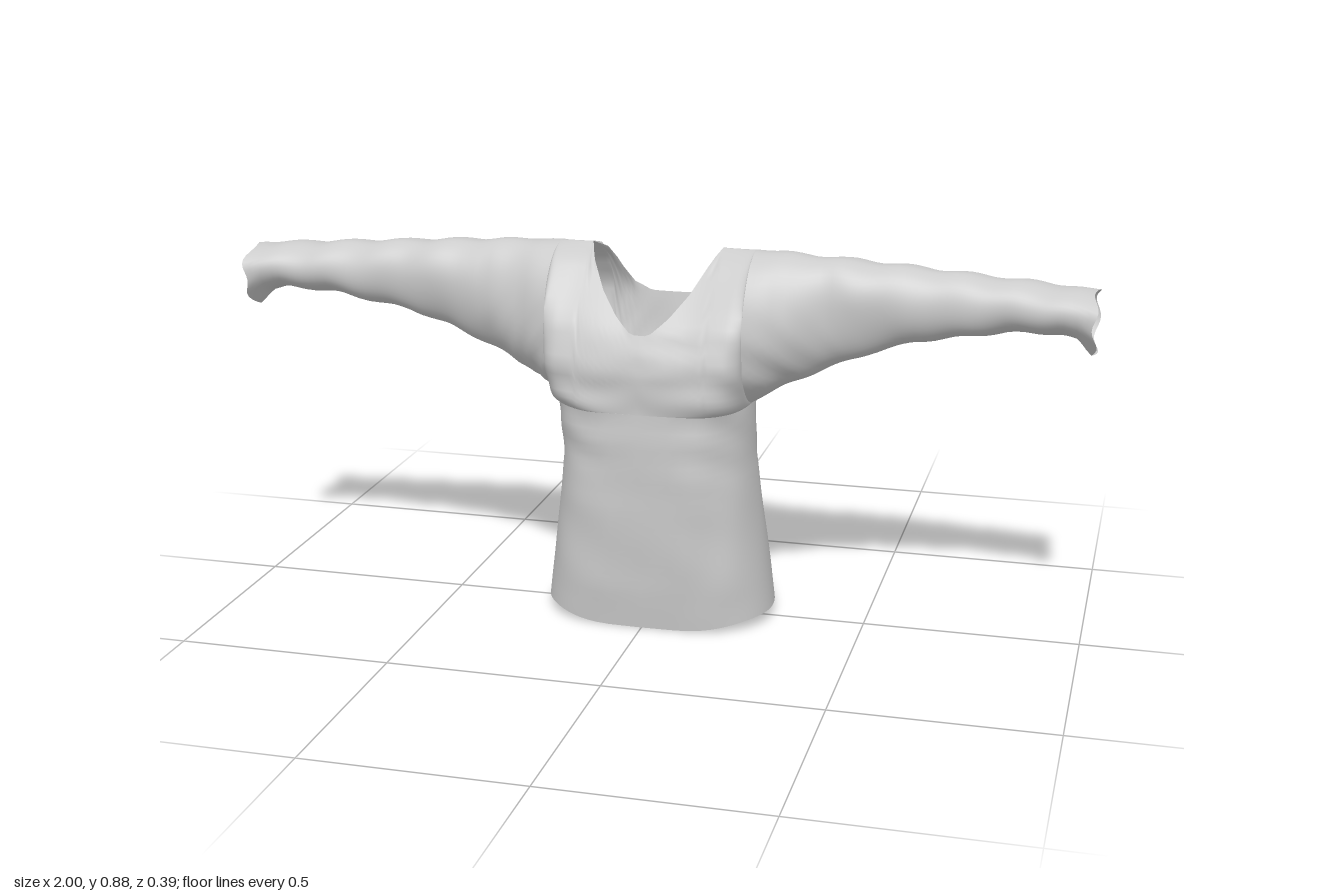
import * as THREE from 'three';
import { mergeVertices } from 'three/addons/utils/BufferGeometryUtils.js';

const material = new THREE.MeshStandardMaterial({ color: 0xcccccc, side: THREE.DoubleSide });
const ARMPIT_X = 0.23, ARMPIT_Y = 0.53;
const { lerp, smoothstep } = THREE.MathUtils;

// Piecewise-linear lookup in [[key, value], ...]
function at(table, k) {
  if (k <= table[0][0]) return table[0][1];
  for (let i = 1; i < table.length; i++) {
    const [a, va] = table[i - 1], [b, vb] = table[i];
    if (k <= b) return lerp(va, vb, (k - a) / (b - a));
  }
  return table[table.length - 1][1];
}

// Torso depth by height, front and back
const chest = [[0, 0.155], [0.1, 0.168], [0.3, 0.182], [0.45, 0.187], [0.53, 0.188], [0.62, 0.193],
  [0.67, 0.183], [0.72, 0.163], [0.8, 0.1], [0.86, 0.05], [0.885, 0]];
const back = [[0.02, 0.187], [0.12, 0.193], [0.2, 0.172], [0.3, 0.14], [0.39, 0.125], [0.5, 0.138],
  [0.6, 0.158], [0.75, 0.176], [0.82, 0.132], [0.87, 0.065], [0.885, 0]];
const waistRight = [[0.02, 0.262], [0.2, 0.238], [0.4, 0.215], [0.53, 0.23]];
const waistLeft = [[0.02, 0.283], [0.2, 0.26], [0.4, 0.235], [0.53, 0.23]];

// Sleeve outline by distance from the centre
const sleeveTop = [[0.15, 0.885], [0.3, 0.882], [0.5, 0.87], [0.8, 0.85], [1, 0.836]];
const sleeveBottom = [[0.23, 0.53], [0.3, 0.572], [0.4, 0.62], [0.5, 0.662], [0.6, 0.695],
  [0.8, 0.73], [0.92, 0.735], [0.96, 0.725], [1, 0.69]];
const sleeveFront = [[0.1, 0.19], [0.2, 0.172], [0.25, 0.14], [0.3, 0.11], [0.4, 0.074], [0.6, 0.062], [0.85, 0.068], [1, 0.09]];
const sleeveBack = [[0.1, 0.185], [0.2, 0.158], [0.3, 0.125], [0.4, 0.112], [0.6, 0.104], [0.8, 0.084], [1, 0.06]];
const sleeveFold = [[0.2, 0.67], [0.3, 0.72], [0.45, 0.785], [1, 0.79]];

// Neckline height by distance from the centre
const neckFront = [[0.02, 0.71], [0.06, 0.745], [0.1, 0.795], [0.14, 0.865], [0.152, 0.885]];
const neckBack = [[0.06, 0.735], [0.1, 0.755], [0.13, 0.81], [0.152, 0.885]];

// Cloth wrinkles, strongest around the armpits and chest
function wrinkle(p) {
  const ax = Math.abs(p.x);
  const near = Math.exp(-(((ax - 0.2) / 0.14) ** 2) - (((p.y - 0.56) / 0.15) ** 2));
  const body = smoothstep(p.y, 0.02, 0.15) * smoothstep(1 - ax, 0, 0.1);
  const fold = Math.sin(70 * (ax * 0.8 + p.y) + 5 * Math.sin(13 * p.x + 9 * p.z));
  const soft = Math.sin(31 * p.x + 11 * p.y) * Math.sin(19 * p.y - 13 * p.x + 14 * p.z);
  p.z += Math.sign(p.z) * Math.min(1, Math.abs(p.z) / 0.03) * (0.005 * near * fold + 0.003 * body * soft);
  p.y += 0.003 * body * Math.sin(47 * p.x + 21 * p.z) * smoothstep(ax, 0.2, 0.35);
  return p;
}

// Cloth sheet from point(u, v) with u, v in 0..1
function sheet(name, nu, nv, point, flip = false) {
  const pos = [], index = [];
  for (let i = 0; i <= nu; i++) {
    for (let j = 0; j <= nv; j++) pos.push(...wrinkle(point(i / nu, j / nv)).toArray());
  }
  for (let i = 0; i < nu; i++) {
    for (let j = 0; j < nv; j++) {
      const a = i * (nv + 1) + j, b = a + nv + 1;
      if (flip) index.push(a, a + 1, b, b, a + 1, b + 1);
      else index.push(a, b, a + 1, b, b + 1, a + 1);
    }
  }
  let geo = new THREE.BufferGeometry();
  geo.setAttribute('position', new THREE.Float32BufferAttribute(pos, 3));
  geo.setIndex(index);
  geo = mergeVertices(geo, 1e-5);
  geo.computeVertexNormals();
  const mesh = new THREE.Mesh(geo, material);
  mesh.name = name;
  return mesh;
}

// Point on the upper garment: chest shape near the middle, sleeve shape outside
function upper(x, v, side) {
  const ax = Math.abs(x);
  const top = at(sleeveTop, ax), bottom = at(sleeveBottom, ax);
  const h = (1 - Math.cos(Math.PI * v)) / 2;
  const y = lerp(bottom, top, h);
  const fold = at(sleeveFold, ax);
  const d = y > fold ? (y - fold) / (top - fold) : (fold - y) / (fold - bottom);
  const sleeve = at(side > 0 ? sleeveFront : sleeveBack, ax) * Math.sqrt(Math.max(0, 1 - d * d));
  const body = at(side > 0 ? chest : back, lerp(ARMPIT_Y, 0.885, h));
  const w = 1 - Math.sqrt(Math.max(0, 1 - (ax / ARMPIT_X) ** 4));
  return new THREE.Vector3(x, y, side * lerp(body, sleeve, w));
}

// Chest or back panel from armpit height to the neckline and shoulders
function panel(name, side) {
  return sheet(name, 56, 22, (u, v) => {
    const x = ARMPIT_X * Math.sin((u - 0.5) * Math.PI);
    const limit = at(side > 0 ? neckFront : neckBack, Math.abs(x));
    const h = Math.min(1, (limit - ARMPIT_Y) / (0.885 - ARMPIT_Y));
    return upper(x, v * Math.acos(1 - 2 * h) / Math.PI, side);
  }, side < 0);
}

// Closed sleeve from the armpit to a slightly ragged cuff
function sleeve(name, sign) {
  return sheet(name, 54, 44, (u, v) => {
    const x = sign * lerp(ARMPIT_X, 1, u);
    const p = v < 0.5 ? upper(x, v * 2, 1) : upper(x, 2 - v * 2, -1);
    p.x -= sign * 0.012 * smoothstep(u, 0.93, 1) * (0.5 + 0.5 * Math.sin(v * Math.PI * 10));
    return p;
  }, sign < 0);
}

export function createModel() {
  const group = new THREE.Group();
  group.name = 'shirt';

  // Torso tube, open at the hem, which dips at the front
  group.add(sheet('torso', 26, 72, (u, v) => {
    const a = v * Math.PI * 2, c = Math.cos(a), s = Math.sin(a);
    const hem = 0.028 - 0.026 * Math.max(0, s) ** 6;
    const y = lerp(hem, ARMPIT_Y, u);
    const halfWidth = at(c > 0 ? waistLeft : waistRight, y);
    const x = halfWidth * Math.sign(c) * Math.sqrt(Math.abs(c));
    return new THREE.Vector3(x, y, s * at(s > 0 ? chest : back, y));
  }, true));

  group.add(panel('chestPanel', 1), panel('backPanel', -1));
  group.add(sleeve('leftSleeve', 1), sleeve('rightSleeve', -1));
  return group;
}
